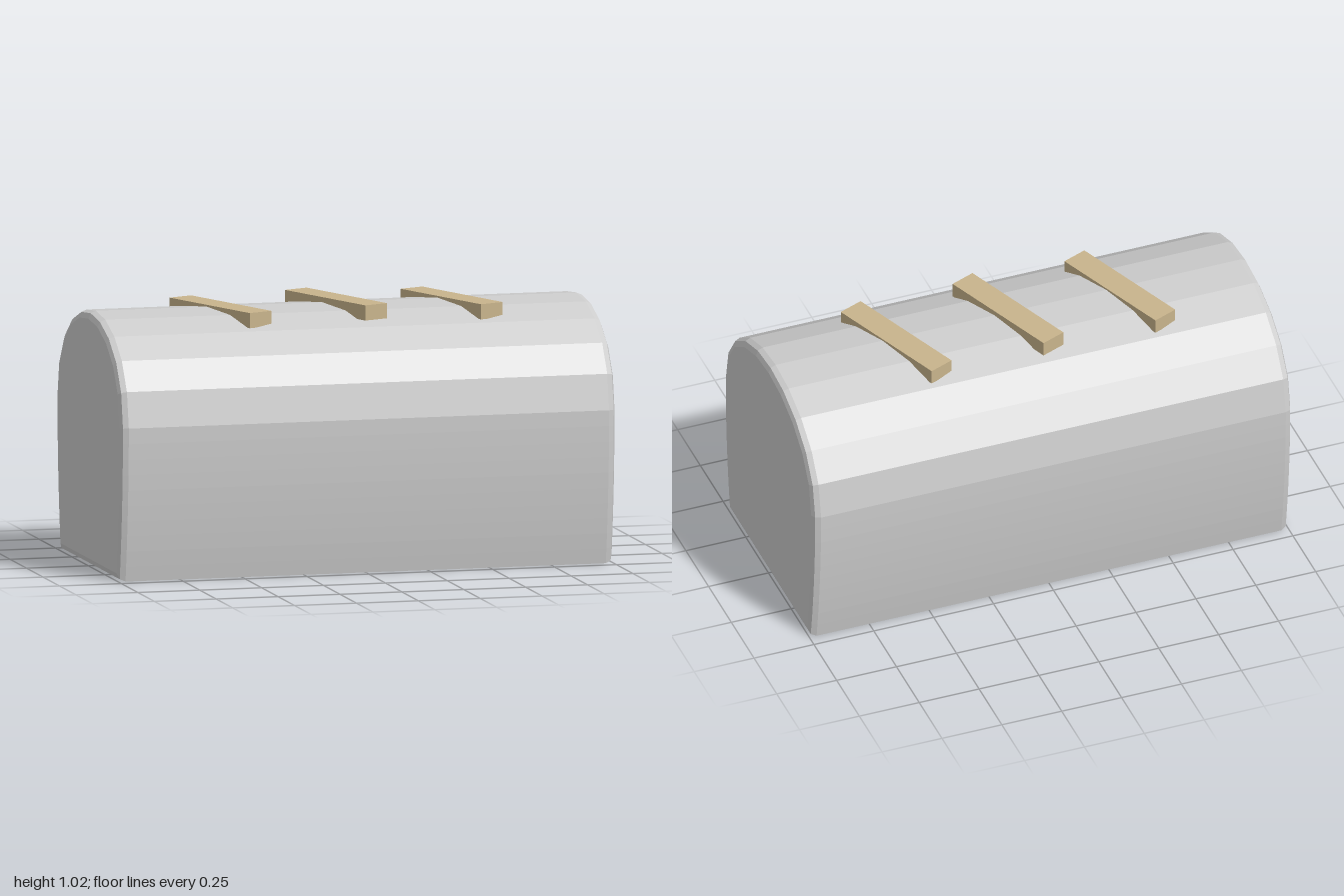
import * as THREE from 'three';

export function createModel() {
  const crust = new THREE.MeshStandardMaterial({ color: 0xcccccc });
  crust.name = 'lightGreyCrust';
  const tan = new THREE.MeshStandardMaterial({ color: 0xc8b48c });
  tan.name = 'tanScore';
  const group = new THREE.Group();
  group.name = 'loaf';

  // Half profile: gently bulging side, then a faceted dome up to the ridge
  const side = new THREE.QuadraticBezierCurve(
    new THREE.Vector2(0.45, 0), new THREE.Vector2(0.5, 0.3), new THREE.Vector2(0.5, 0.61));
  const half = side.getPoints(10);
  for (const [x, y] of [[0.472, 0.75], [0.395, 0.862], [0.28, 0.942], [0.143, 0.99]]) {
    half.push(new THREE.Vector2(x, y));
  }
  const mirrored = half.map((p) => new THREE.Vector2(-p.x, p.y)).reverse();
  const profile = new THREE.Shape([...half, new THREE.Vector2(0, 1.005), ...mirrored]);

  // Body, with rounded end edges
  const bevel = 0.03;
  const bodyGeometry = new THREE.ExtrudeGeometry(profile, {
    depth: 2 - 2 * bevel, steps: 1, bevelEnabled: true, bevelSegments: 2,
    bevelThickness: bevel, bevelSize: bevel, bevelOffset: -bevel,
  });
  bodyGeometry.translate(0, 0, bevel - 1).rotateY(Math.PI / 2);
  const body = new THREE.Mesh(bodyGeometry, crust);
  body.name = 'body';
  group.add(body);

  // Three slanted bars across the top; the middle one sits a little higher
  const barGeometry = new THREE.BoxGeometry(0.105, 0.06, 0.525);
  [[-0.467, 0.982], [0, 0.995], [0.467, 0.982]].forEach(([x, y], i) => {
    const bar = new THREE.Mesh(barGeometry, tan);
    bar.name = `topScore${i + 1}`;
    bar.position.set(x, y, 0);
    bar.rotation.y = 0.38;
    group.add(bar);
  });
  return group;
}
